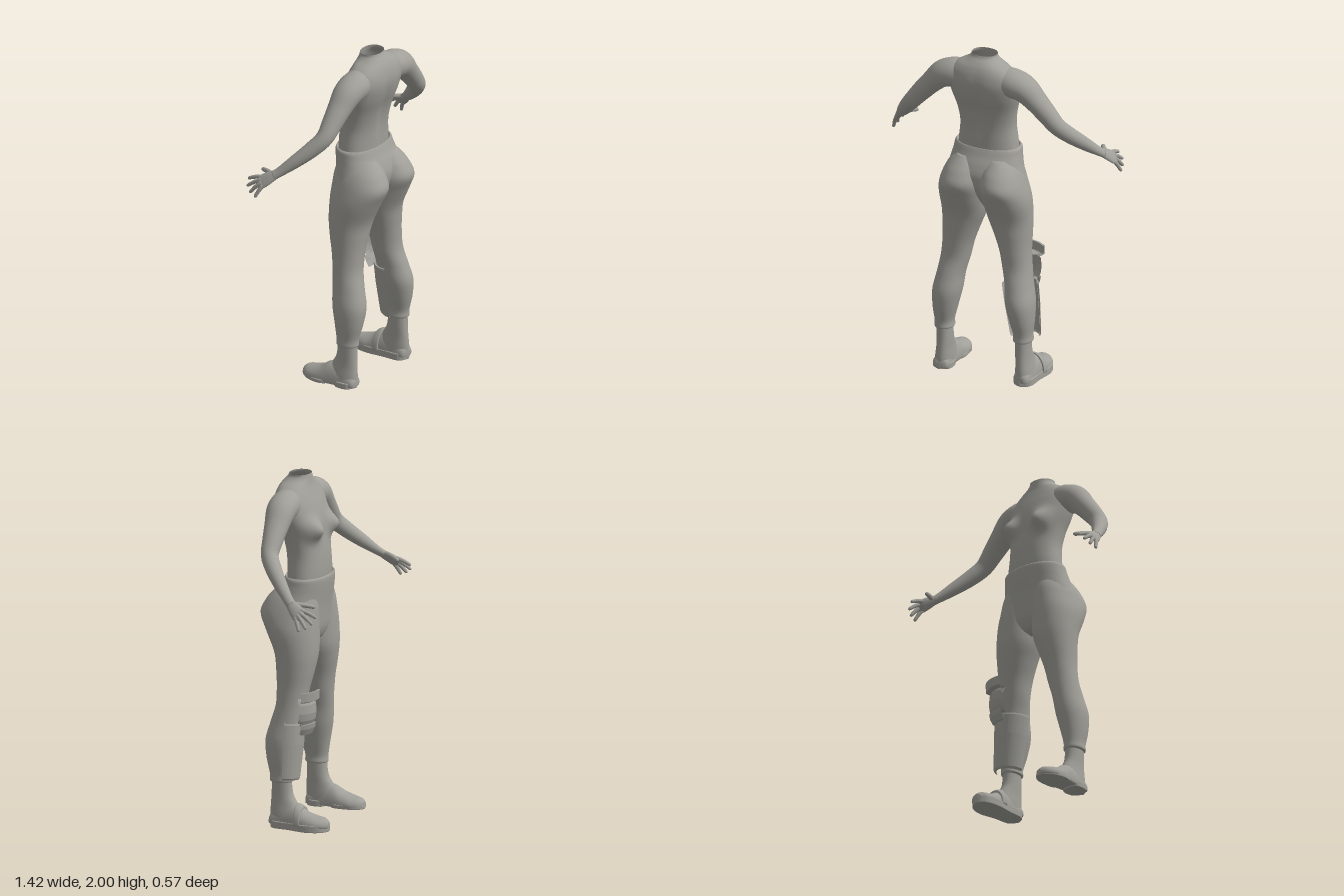
import * as THREE from 'three';

const grey = new THREE.MeshStandardMaterial({ color: 0xa09f99, side: THREE.DoubleSide });
grey.name = 'warm grey';

const part = (name, geometry) => {
  const mesh = new THREE.Mesh(geometry, grey);
  mesh.name = name;
  return mesh;
};

// Smoothly subdivide rows of numbers (Catmull-Rom per column)
function smooth(rows, steps) {
  const out = [];
  const at = (i) => rows[Math.min(Math.max(i, 0), rows.length - 1)];
  for (let i = 0; i < rows.length - 1; i++) {
    for (let s = 0; s < steps; s++) {
      const t = s / steps;
      out.push(rows[i].map((p1, k) => {
        const p0 = at(i - 1)[k], p2 = at(i + 1)[k], p3 = at(i + 2)[k];
        return 0.5 * (2 * p1 + (p2 - p0) * t + (2 * p0 - 5 * p1 + 4 * p2 - p3) * t * t
          + (3 * p1 - p0 - 3 * p2 + p3) * t * t * t);
      }));
    }
  }
  out.push(rows[rows.length - 1]);
  return out;
}

// Skin a list of closed rings, optionally capping the first and last
function skin(rings, capStart, capEnd) {
  const n = rings[0].length, pos = [], index = [];
  rings.forEach((ring) => ring.forEach((p) => pos.push(p.x, p.y, p.z)));
  for (let i = 0; i < rings.length - 1; i++) {
    for (let j = 0; j < n; j++) {
      const a = i * n + j, b = i * n + (j + 1) % n, c = a + n, d = b + n;
      index.push(a, b, c, b, d, c);
    }
  }
  const cap = (r, flip) => {
    const c = new THREE.Vector3(), id = pos.length / 3;
    rings[r].forEach((p) => c.addScaledVector(p, 1 / n));
    pos.push(c.x, c.y, c.z);
    for (let j = 0; j < n; j++) {
      const a = r * n + j, b = r * n + (j + 1) % n;
      if (flip) index.push(id, b, a); else index.push(id, a, b);
    }
  };
  if (capStart) cap(0, true);
  if (capEnd) cap(rings.length - 1, false);
  const g = new THREE.BufferGeometry();
  g.setAttribute('position', new THREE.Float32BufferAttribute(pos, 3));
  g.setIndex(index);
  g.computeVertexNormals();
  return g;
}

// Upright loft, top to bottom: rows of [y, centre x, half width, back z, front z]
function bodyLoft(rows, { n = 40, steps = 6, power = 0.9, rule, caps = [false, false] } = {}) {
  const pw = (v) => Math.sign(v) * Math.abs(v) ** power;
  return skin(smooth(rows, steps).map(([y, cx, rx, zb, zf]) => Array.from({ length: n }, (_, j) => {
    const a = (j / n) * Math.PI * 2;
    const p = new THREE.Vector3(cx + rx * pw(Math.cos(a)), y, (zb + zf) / 2 + (zb - zf) / 2 * pw(Math.sin(a)));
    if (rule) rule(p, Math.sin(a));
    return p;
  })), ...caps);
}

// Loft along any path: rows of [x, y, z, half width, half thickness]
function limb(rows, width, { n = 20, steps = 5, rule } = {}) {
  const fine = smooth(rows, steps), at = fine.map((r) => new THREE.Vector3(r[0], r[1], r[2]));
  return skin(fine.map((r, i) => {
    const w = at[Math.min(i + 1, at.length - 1)].clone().sub(at[Math.max(i - 1, 0)]).normalize();
    const u = new THREE.Vector3(...width).addScaledVector(w, -w.dot(new THREE.Vector3(...width))).normalize();
    const v = w.clone().cross(u);
    return Array.from({ length: n }, (_, j) => {
      const a = (j / n) * Math.PI * 2;
      const p = at[i].clone().addScaledVector(u, r[3] * Math.cos(a)).addScaledVector(v, r[4] * Math.sin(a));
      if (rule) rule(p);
      return p;
    });
  }), true, true);
}

// Mirror a geometry across x, keeping faces outward
function sided(g, side) {
  if (side > 0) return g;
  g.scale(-1, 1, 1);
  const ix = g.index.array;
  for (let i = 0; i < ix.length; i += 3) [ix[i], ix[i + 1]] = [ix[i + 1], ix[i]];
  g.computeVertexNormals();
  return g;
}

// Curved armour shell from [radius, y] outer points, given thickness and arc
function shell(name, outer, mid, half, thick = 0.008) {
  const pts = [...outer, ...outer.slice().reverse().map(([r, y]) => [r - thick, y]), outer[0]]
    .map(([r, y]) => new THREE.Vector2(r, y));
  const g = new THREE.LatheGeometry(pts, 20, mid - half, half * 2).toNonIndexed();
  g.computeVertexNormals();
  return part(name, g);
}

// Sole plate: outline points [x, z] closed by a spline
function sole(name, outline, y, height) {
  const shape = new THREE.Shape(new THREE.SplineCurve(
    [...outline, outline[0]].map(([x, z]) => new THREE.Vector2(x, -z))).getPoints(48));
  const g = new THREE.ExtrudeGeometry(shape, { depth: height - 0.008, bevelThickness: 0.004, bevelSize: 0.004, bevelSegments: 2 });
  return part(name, g.rotateX(-Math.PI / 2).translate(0, y + 0.004, 0));
}

const bump = (d, s) => Math.exp(-(d * d) / (s * s));

export function createModel() {
  const model = new THREE.Group();
  model.name = 'figure';

  // Torso with open neck, chest and spine groove
  model.add(part('torso', bodyLoft([
    [2.0, 0, 0.075, 0.165, 0.045], [1.985, 0, 0.078, 0.172, 0.042], [1.965, 0, 0.1, 0.19, 0.038],
    [1.935, 0, 0.155, 0.21, 0.03], [1.89, 0, 0.2, 0.225, 0.012], [1.83, 0, 0.215, 0.23, -0.012],
    [1.75, 0, 0.203, 0.215, -0.035], [1.65, 0, 0.177, 0.182, -0.045], [1.55, 0, 0.165, 0.162, -0.058],
    [1.45, 0, 0.175, 0.156, -0.062], [1.38, 0, 0.183, 0.155, -0.058],
  ], {
    n: 72, rule: (p, s) => {
      const y = p.y;
      if (s < 0) p.z -= 0.062 * bump(Math.abs(p.x) - 0.115, 0.055) * bump(y - 1.7, 0.055) * Math.min(1, -s * 2);
      else p.z -= 0.014 * bump(p.x, 0.035) * bump(y - 1.66, 0.17);
    },
  })));

  // Trousers: hips with a waistband lip
  model.add(part('hips', bodyLoft([
    [1.41, 0, 0.178, 0.15, -0.056], [1.426, 0, 0.186, 0.163, -0.068], [1.415, 0, 0.198, 0.17, -0.075],
    [1.38, 0, 0.203, 0.184, -0.074], [1.33, 0, 0.213, 0.208, -0.068], [1.27, 0, 0.23, 0.225, -0.06],
    [1.2, 0, 0.247, 0.215, -0.053], [1.12, 0, 0.225, 0.17, -0.045], [1.06, 0, 0.12, 0.12, -0.02],
    [1.03, 0, 0.04, 0.09, 0.02],
  ], { n: 56, caps: [false, true] })));

  for (const side of [1, -1]) {
    const label = side > 0 ? 'left' : 'right';

    // Trouser leg with buttock and calf
    model.add(part(label + 'TrouserLeg', sided(bodyLoft([
      [1.37, 0.1, 0.06, 0.185, 0], [1.33, 0.105, 0.095, 0.222, -0.035], [1.28, 0.113, 0.115, 0.26, -0.05],
      [1.21, 0.122, 0.13, 0.285, -0.056], [1.12, 0.133, 0.138, 0.245, -0.06], [1.0, 0.141, 0.13, 0.19, -0.06],
      [0.9, 0.158, 0.11, 0.172, -0.046], [0.8, 0.175, 0.092, 0.163, -0.025], [0.7, 0.19, 0.085, 0.163, -0.01],
      [0.6, 0.21, 0.08, 0.188, 0], [0.5, 0.225, 0.083, 0.212, 0.01], [0.4, 0.236, 0.071, 0.202, 0.03],
      [0.31, 0.243, 0.055, 0.18, 0.045], [0.27, 0.243, 0.056, 0.179, 0.045], [0.262, 0.243, 0.045, 0.17, 0.055],
    ], { power: 0.95, caps: [true, true], rule: (p) => { p.x = Math.max(p.x, 0); } }), side)));

    // Ankle shaft and shoe upper
    model.add(part(label + 'Ankle', sided(bodyLoft([
      [0.3, 0.243, 0.043, 0.168, 0.055], [0.2, 0.243, 0.043, 0.17, 0.045],
      [0.14, 0.245, 0.045, 0.173, 0.015], [0.08, 0.248, 0.052, 0.176, -0.02], [0.03, 0.25, 0.055, 0.176, -0.03],
    ], { n: 28 }), side)));
    model.add(part(label + 'ShoeUpper', sided(limb([
      [0.247, 0.035, 0.177, 0.02, 0.02], [0.248, 0.035, 0.16, 0.046, 0.05], [0.25, 0.035, 0.08, 0.056, 0.1],
      [0.252, 0.035, 0.01, 0.064, 0.105], [0.254, 0.035, -0.05, 0.071, 0.07], [0.25, 0.035, -0.11, 0.07, 0.05],
      [0.243, 0.035, -0.155, 0.05, 0.04], [0.238, 0.035, -0.178, 0.02, 0.02],
    ], [1, 0, 0], { n: 28, rule: (p) => { p.y = Math.max(p.y, 0.022); } }), side)));

    // Arm from inside the shoulder to the wrist
    model.add(part(label + 'Arm', sided(limb([
      [0.09, 1.862, 0.12, 0.07, 0.07], [0.17, 1.85, 0.118, 0.088, 0.084], [0.25, 1.825, 0.115, 0.084, 0.078],
      [0.32, 1.76, 0.11, 0.07, 0.064], [0.385, 1.69, 0.105, 0.059, 0.057], [0.445, 1.62, 0.095, 0.05, 0.05],
      [0.5, 1.555, 0.045, 0.046, 0.045], [0.56, 1.485, -0.025, 0.038, 0.037], [0.61, 1.425, -0.09, 0.029, 0.024],
      [0.632, 1.4, -0.122, 0.028, 0.02],
    ], [0, 0, 1], { n: 28 }), side)));

    // Hand: flat palm, four spread fingers and a thumb
    const hand = new THREE.Group();
    hand.name = label + 'Hand';
    const across = [0.05, -0.07, 0.09];
    hand.add(part('palm', sided(limb([
      [0.605, 1.43, -0.085, 0.024, 0.018], [0.628, 1.405, -0.115, 0.028, 0.018], [0.648, 1.38, -0.15, 0.038, 0.017],
      [0.666, 1.355, -0.185, 0.042, 0.014], [0.673, 1.347, -0.2, 0.03, 0.008],
    ], across), side)));
    const fingers = {
      indexFinger: [[0.65, 1.378, -0.2], [0.651, 1.345, -0.284]],
      middleFinger: [[0.664, 1.364, -0.195], [0.681, 1.312, -0.272]],
      ringFinger: [[0.675, 1.35, -0.185], [0.698, 1.286, -0.24]],
      littleFinger: [[0.68, 1.335, -0.17], [0.706, 1.27, -0.2]],
      thumb: [[0.628, 1.405, -0.14], [0.572, 1.385, -0.243]],
    };
    for (const [name, [a, b]] of Object.entries(fingers)) {
      const k = name === 'thumb' ? 1.2 : 1;
      const rows = [[-0.15, 0.012], [0.3, 0.012], [0.65, 0.0105], [0.92, 0.009], [1, 0.003]].map(([t, r]) =>
        [0, 1, 2].map((i) => a[i] + (b[i] - a[i]) * t + (i === 1 ? 0.014 * t * (1 - t) : 0)).concat(r * k, r * k));
      hand.add(part(name, sided(limb(rows, across, { n: 10, steps: 3 }), side)));
    }
    model.add(hand);
  }

  // Left shoe: one full flat sole and an instep strap
  model.add(sole('leftSole', [[0.25, 0.174], [0.3, 0.14], [0.31, 0.04], [0.328, -0.06], [0.305, -0.14],
    [0.245, -0.178], [0.195, -0.14], [0.182, -0.06], [0.192, 0.04], [0.2, 0.14]], 0, 0.042));
  model.add(part('leftStrap', limb([
    [0.253, 0.04, 0.01, 0.07, 0.104], [0.253, 0.04, 0.004, 0.074, 0.108],
    [0.253, 0.04, -0.024, 0.076, 0.095], [0.253, 0.04, -0.03, 0.071, 0.088],
  ], [1, 0, 0], { n: 28, steps: 2, rule: (p) => { p.y = Math.max(p.y, 0.03); } })));

  // Right shoe: separate heel and forefoot soles
  model.add(sole('rightHeel', [[-0.25, 0.174], [-0.3, 0.14], [-0.302, 0.07], [-0.25, 0.055], [-0.2, 0.07], [-0.2, 0.14]], 0.012, 0.035));
  model.add(sole('rightForefootSole', [[-0.25, 0.015], [-0.31, 0], [-0.326, -0.06], [-0.3, -0.14],
    [-0.243, -0.178], [-0.195, -0.14], [-0.184, -0.06], [-0.195, 0]], 0.016, 0.022));

  // Left knee guard: upper strap, pad and lower strap
  const knee = new THREE.Group();
  knee.name = 'kneeGuard';
  knee.position.set(0.19, 0, 0.072);
  const facing = Math.PI - 0.3;
  knee.add(shell('upperStrap', [[0.137, 0.735], [0.158, 0.745], [0.16, 0.797]], facing, 0.5, 0.012));
  knee.add(shell('kneePad', [[0.122, 0.6], [0.136, 0.63], [0.142, 0.67], [0.138, 0.72], [0.125, 0.75]], facing, 0.5, 0.03));
  knee.add(shell('lowerStrap', [[0.118, 0.545], [0.135, 0.58], [0.14, 0.608]], facing, 0.45, 0.012));
  model.add(knee);

  // Left shin guard, leaning with the lower leg
  const shin = shell('shinGuard', [[0.084, -0.165], [0.09, -0.155], [0.104, 0.04], [0.107, 0.15], [0.104, 0.16]], Math.PI + 0.2, 1.5);
  shin.position.set(0.23, 0.445, 0.095);
  shin.rotation.z = 0.11;
  model.add(shin);

  return model;
}
